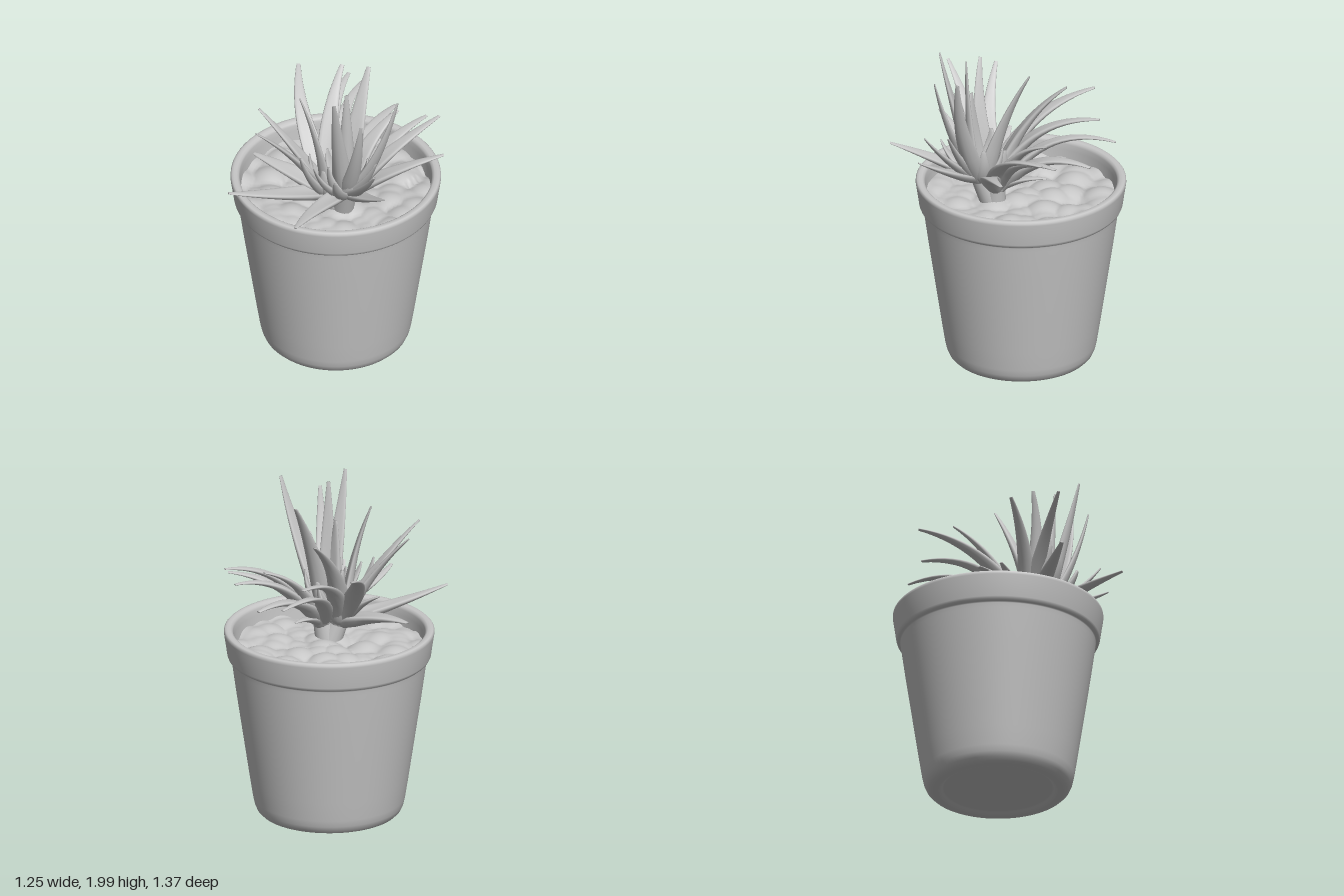
import * as THREE from 'three';

const clay = new THREE.MeshStandardMaterial({ color: 0xc6c6c6 });
clay.name = 'plain grey';
const POT_Z = -0.06;
const V = (x, y, z) => new THREE.Vector3(x, y, z);

// Fleshy pointed leaf: crescent sections swept along a spine bent up (bulge) and sideways (sway)
function leafGeometry(base, tip, halfWidth, bulge, sway) {
  const chord = tip.clone().sub(base);
  const out = V(chord.x, 0, chord.z).normalize();
  const side = V(0, 1, 0).cross(out);
  const lift = chord.clone().normalize().cross(side);
  const mid = base.clone().lerp(tip, 0.5).addScaledVector(lift, bulge * 2).addScaledVector(side, sway * 2);
  const spine = new THREE.QuadraticBezierCurve3(base, mid, tip);
  const rings = 16, sides = 14, pos = [], index = [];
  for (let i = 0; i <= rings; i++) {
    const u = Math.min(i / (rings - 1), 1);
    const c = spine.getPoint(u), t = spine.getTangent(u);
    const n = t.clone().cross(side).normalize(), s = n.clone().cross(t);
    const taper = (0.8 + 0.2 * Math.min(u / 0.2, 1)) * (1 - 0.84 * Math.pow(u, 1.35));
    const w = i === rings ? 0.0005 : halfWidth * taper;
    for (let j = 0; j < sides; j++) {
      const a = j / sides * Math.PI * 2, k = Math.cos(a);
      const h = w * (0.42 * Math.sin(a) + 0.55 * (1 - u) * (k * k - 0.5));
      const p = c.clone().addScaledVector(s, w * k).addScaledVector(n, h);
      pos.push(p.x, p.y, p.z);
      if (i < rings) {
        const q = i * sides + j, r = i * sides + (j + 1) % sides;
        index.push(q, r, q + sides, r, r + sides, q + sides);
      }
    }
  }
  const g = new THREE.BufferGeometry();
  g.setAttribute('position', new THREE.Float32BufferAttribute(pos, 3));
  g.setIndex(index);
  g.computeVertexNormals();
  return g;
}

// Leaves of one crown; each row is tip x, y, z, half width, bulge, sway
function rosette(name, crown, rows) {
  const group = new THREE.Group();
  group.name = name;
  rows.forEach(([x, y, z, w, bulge, sway = 0]) => {
    const out = V(x - crown.x, 0, z - crown.z).normalize();
    const base = crown.clone().addScaledVector(out, 0.025);
    const leaf = new THREE.Mesh(leafGeometry(base, V(x, y, z), w, bulge, sway), clay);
    leaf.name = 'leaf';
    group.add(leaf);
  });
  return group;
}

const LEFT_LEAVES = [
  [-0.46, 1.63, -0.27, 0.078, 0.07, 0.07],
  [-0.14, 1.76, -0.29, 0.08, 0.05, 0.04],
  [-0.235, 1.56, -0.465, 0.075, 0.1, 0.05],
  [-0.28, 1.71, 0.32, 0.065, 0.03, 0.03],
  [-0.42, 1.25, 0.19, 0.085, 0.02, 0.02],
  [-0.11, 1.73, 0.55, 0.06, 0.03],
  [-0.215, 1.32, 0.68, 0.075, -0.01],
  [-0.02, 1.86, 0.25, 0.065, 0.02, 0.04],
  [-0.20, 1.36, 0.16, 0.065, 0.02],
  [0.05, 1.5, 0.33, 0.062, -0.03],
];
const RIGHT_LEAVES = [
  [0.30, 1.99, 0.32, 0.068, -0.01],
  [0.26, 1.96, 0.155, 0.065, -0.01],
  [0.54, 1.95, 0.02, 0.075, -0.04, -0.02],
  [0.13, 1.91, -0.21, 0.085, 0.03],
  [0.45, 1.86, 0.25, 0.062, -0.03],
  [0.20, 1.73, 0.16, 0.085, -0.01],
  [0.55, 1.54, 0.25, 0.062, -0.02],
  [0.62, 1.41, 0.245, 0.062, -0.01],
  [0.47, 1.54, 0.135, 0.06, -0.02],
  [0.30, 1.30, 0.68, 0.066, -0.01, -0.03],
  [0.14, 1.45, 0.31, 0.062, -0.03],
  [0.30, 1.42, 0.31, 0.062, -0.03],
];
const BACK_LEAVES = [
  [-0.21, 1.46, -0.60, 0.062, 0.11, 0.08],
  [0.03, 1.38, -0.585, 0.078, 0.09, 0.02],
  [0.31, 1.46, -0.53, 0.07, 0.09, -0.03],
  [0.425, 1.52, -0.51, 0.07, 0.09, -0.07],
  [0.60, 1.41, -0.34, 0.072, 0.05, -0.05],
  [0.205, 1.53, -0.39, 0.078, 0.07],
  [0.05, 1.23, -0.28, 0.05, 0.02],
];

// Tapered stem between two points
function stem(from, to, r0, r1) {
  const dir = to.clone().sub(from);
  const m = new THREE.Mesh(new THREE.CylinderGeometry(r1, r0, dir.length(), 16), clay);
  m.position.copy(from).addScaledVector(dir, 0.5);
  m.quaternion.setFromUnitVectors(V(0, 1, 0), dir.normalize());
  m.name = 'stem';
  return m;
}

// Repeatable value for a grid cell
function hash(i, j) {
  const s = Math.sin(i * 127.1 + j * 311.7) * 43758.5453;
  return s - Math.floor(s);
}

// Height of the stony ground: tilted blunt stones around jittered cell centres
function stoneHeight(x, z) {
  const s = 0.1, cx = Math.floor(x / s), cz = Math.floor(z / s);
  let best = -0.04;
  for (let i = cx - 1; i <= cx + 1; i++) {
    for (let j = cz - 1; j <= cz + 1; j++) {
      const dx = x / s - (i + 0.15 + 0.7 * hash(i, j)), dz = z / s - (j + 0.15 + 0.7 * hash(j + 9, i));
      const tilt = (hash(i + 2, j) - 0.5) * dx + (hash(i, j + 4) - 0.5) * dz;
      best = Math.max(best, 0.04 * hash(i + 5, j - 3) + 0.07 * tilt - 0.035 * (dx * dx + dz * dz));
    }
  }
  return 1.02 + best;
}

function groundGeometry() {
  const g = new THREE.RingGeometry(0.001, 0.567, 130, 36);
  g.rotateX(-Math.PI / 2);
  const p = g.attributes.position;
  for (let i = 0; i < p.count; i++) p.setY(i, stoneHeight(p.getX(i), p.getZ(i)));
  g.computeVertexNormals();
  return g;
}

export function createModel() {
  const model = new THREE.Group();
  model.name = 'pottedSucculent';

  // Pot with a recessed foot, collar and hollow inside
  const profile = [
    [0, 0.022], [0.32, 0.022], [0.332, 0.016], [0.345, 0.004], [0.36, 0], [0.385, 0.002],
    [0.41, 0.01], [0.43, 0.03], [0.443, 0.06], [0.452, 0.1], [0.471, 0.22], [0.51, 0.48],
    [0.549, 0.74], [0.577, 0.94], [0.58, 0.968], [0.583, 0.976], [0.592, 0.978], [0.6, 0.986],
    [0.606, 1.0], [0.616, 1.07], [0.626, 1.135], [0.625, 1.15], [0.618, 1.158], [0.606, 1.16],
    [0.588, 1.158], [0.576, 1.15], [0.571, 1.135], [0.568, 1.1], [0.56, 0.95], [0.55, 0.9],
  ].map(([r, y]) => new THREE.Vector2(r, y));
  const pot = new THREE.Mesh(new THREE.LatheGeometry(profile, 96), clay);
  pot.name = 'pot';
  pot.position.z = POT_Z;
  model.add(pot);

  const ground = new THREE.Mesh(groundGeometry(), clay);
  ground.name = 'stonyGround';
  ground.position.z = POT_Z;
  model.add(ground);

  // Plant: short forked stem carrying three crowns of leaves
  const root = V(0.13, 0.98, 0.04);
  const left = V(0.09, 1.15, 0.09), right = V(0.2, 1.2, 0.09), back = V(0.15, 1.14, 0.02);
  [left, right, back].forEach((crown) => model.add(stem(root, crown, 0.07, 0.06)));
  model.add(rosette('leftLeaves', left, LEFT_LEAVES));
  model.add(rosette('rightLeaves', right, RIGHT_LEAVES));
  model.add(rosette('backLeaves', back, BACK_LEAVES));

  // Short young leaves filling the hearts
  [left, right].forEach((crown, k) => {
    const rows = [];
    for (let i = 0; i < 5; i++) {
      const a = i * 1.26 + k * 0.5;
      rows.push([crown.x + 0.13 * Math.cos(a), crown.y + 0.2 + 0.03 * (i % 3), crown.z + 0.13 * Math.sin(a), 0.065, -0.025]);
    }
    model.add(rosette('youngLeaves', crown, rows));
  });
  return model;
}
